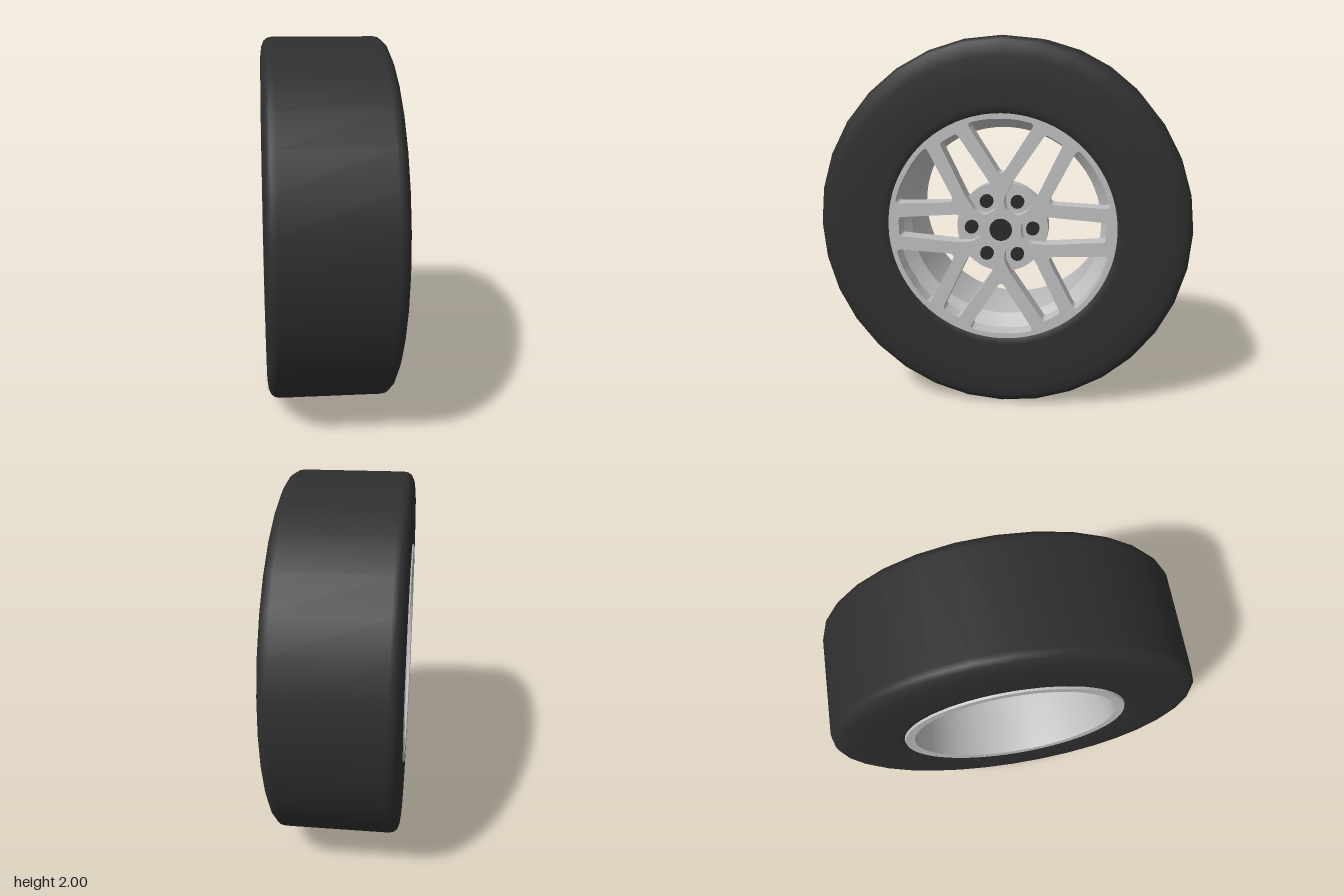
import * as THREE from 'three';
import { toCreasedNormals } from 'three/addons/utils/BufferGeometryUtils.js';

const rubber = new THREE.MeshStandardMaterial({ name: 'rubber', color: 0x2e2e2e });
const alloy = new THREE.MeshStandardMaterial({ name: 'alloy', color: 0xbfbfbf });
const darkMetal = new THREE.MeshStandardMaterial({ name: 'darkMetal', color: 0x292929 });

const TURN = Math.PI / 3;

function part(parent, name, geometry, material) {
  const mesh = new THREE.Mesh(geometry, material);
  mesh.name = name;
  parent.add(mesh);
  return mesh;
}

// Revolve [radius, x] pairs around the x axis
function revolve(profile, segments, crease) {
  const g = new THREE.LatheGeometry(profile.map(([r, x]) => new THREE.Vector2(r, x)), segments);
  g.rotateZ(-Math.PI / 2);
  return crease ? toCreasedNormals(g, crease) : g;
}

// Solid disc lying across the x axis, between x0 and x1
function disc(radius, x0, x1, segments) {
  return new THREE.CylinderGeometry(radius, radius, x1 - x0, segments)
    .rotateZ(-Math.PI / 2).translate((x0 + x1) / 2, 0, 0);
}

// Closed path through corner points, turned by an angle, with rounded corners
function roundedPath(points, radius, angle) {
  const origin = new THREE.Vector2();
  const pts = points.map(([u, v]) => new THREE.Vector2(u, v).rotateAround(origin, angle));
  const path = new THREE.Path();
  pts.forEach((p, i) => {
    const toward = (q) => {
      const len = p.distanceTo(q);
      return p.clone().lerp(q, Math.min(radius / len, 0.45));
    };
    const a = toward(pts[(i + pts.length - 1) % pts.length]);
    const b = toward(pts[(i + 1) % pts.length]);
    if (i === 0) path.moveTo(a.x, a.y);
    else path.lineTo(a.x, a.y);
    path.quadraticCurveTo(p.x, p.y, b.x, b.y);
  });
  path.closePath();
  return path;
}

// Mirror half an outline across the radial axis
const mirrored = (half) => [...half, ...half.slice().reverse().map(([u, v]) => [u, -v])];

export function createModel() {
  const model = new THREE.Group();
  model.name = 'wheel';
  const wheel = new THREE.Group();
  wheel.name = 'wheelAssembly';
  wheel.position.y = 1;
  model.add(wheel);

  // Tyre: flat tread, rounded shoulders, nearly flat sidewalls
  const side = [[0.6, 0.31], [0.615, 0.326], [0.65, 0.332], [0.8, 0.335], [0.9, 0.333],
    [0.95, 0.327], [0.98, 0.314], [0.995, 0.295], [1, 0.27]];
  const tyreProfile = [...side.map(([r, x]) => [r, -x]), ...side.slice().reverse()];
  part(wheel, 'tyre', revolve(tyreProfile, 32), rubber);

  // Rim barrel, open at the back
  const barrel = [[0.585, 0.24], [0.525, 0.17], [0.557, -0.325], [0.56, -0.335],
    [0.61, -0.338], [0.618, -0.32]];
  part(wheel, 'rimBarrel', revolve(barrel, 64, 0.4), alloy);

  // Spoked face: a disc with six large windows and six slots
  const face = new THREE.Shape();
  face.absarc(0, 0, 0.61, 0, Math.PI * 2, false);
  const arc = [17.5, 12, 6, 0].map((d) => THREE.MathUtils.degToRad(d))
    .map((a) => [0.585 * Math.cos(a), 0.585 * Math.sin(a)]);
  const windowOutline = mirrored([[0.3, 0.012], ...arc.slice(0, 3)]);
  const slotOutline = mirrored([[0.108, 0.036], [0.155, 0.07], [0.245, 0.075], [0.553, 0.052]]);
  for (let i = 0; i < 6; i++) {
    face.holes.push(roundedPath(windowOutline, 0.03, (i + 0.5) * TURN));
    face.holes.push(roundedPath(slotOutline, 0.02, i * TURN));
  }
  const faceGeometry = new THREE.ExtrudeGeometry(face, {
    depth: 0.1, bevelEnabled: false, curveSegments: 40,
  });
  faceGeometry.rotateY(Math.PI / 2).translate(0.236, 0, 0);
  part(wheel, 'spokes', toCreasedNormals(faceGeometry, 0.6), alloy);

  // Hub plate forming the floor of the nut pockets
  part(wheel, 'hubPlate', disc(0.245, 0.2, 0.275, 48), alloy);

  // Centre cap and wheel nuts
  part(wheel, 'centreCap', disc(0.06, 0.27, 0.339, 24), darkMetal);
  for (let i = 0; i < 6; i++) {
    const nut = part(wheel, 'wheelNut', disc(0.036, 0.27, 0.3, 12), darkMetal);
    nut.position.set(0, 0.165 * Math.sin(i * TURN), 0.165 * Math.cos(i * TURN));
  }
  return model;
}
